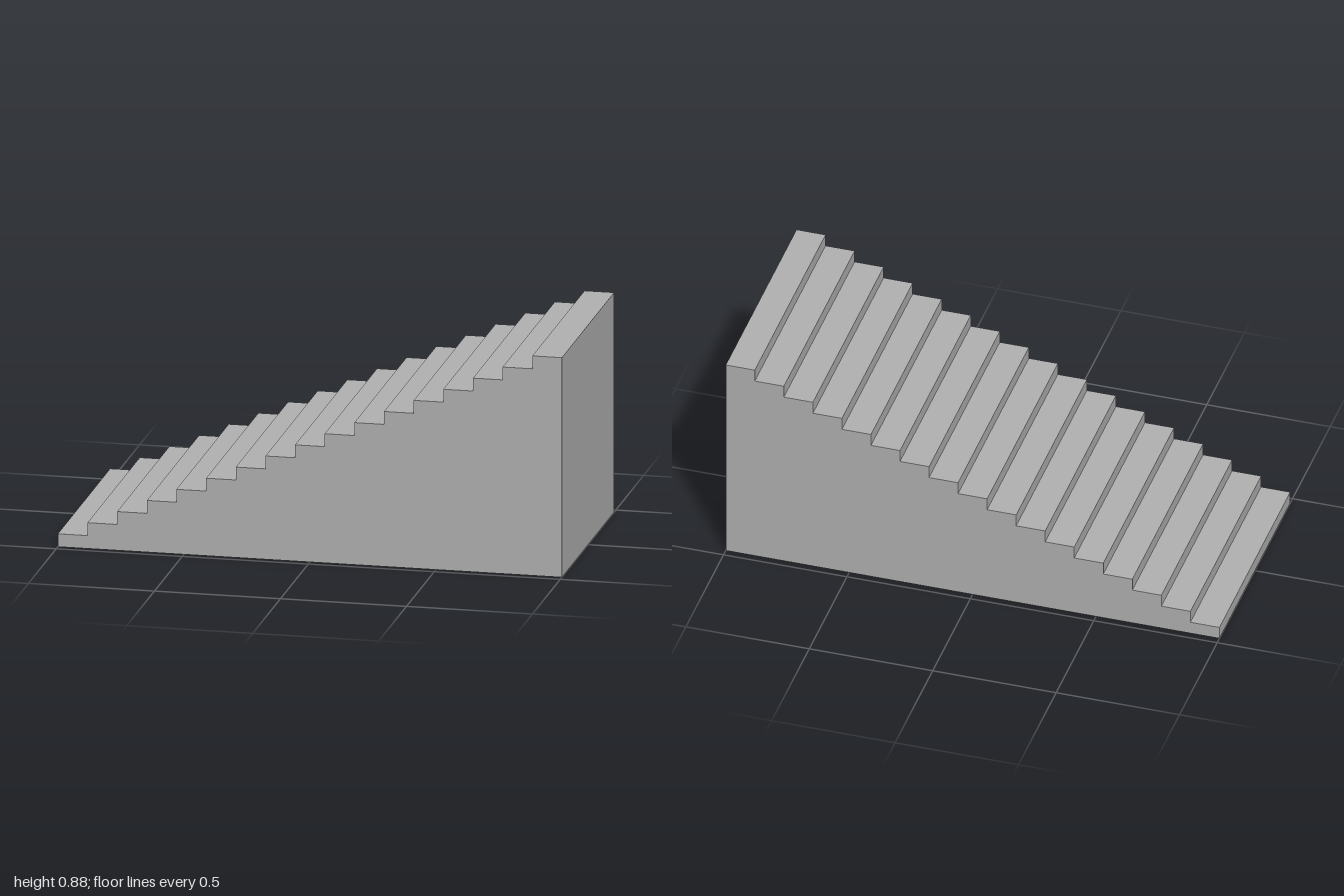
import * as THREE from 'three';

const STEPS = 17;
const LENGTH = 2;
const HEIGHT = 0.885;
const DEPTH = 0.94;

export function createModel() {
  const group = new THREE.Group();
  group.name = 'staircase';

  const stone = new THREE.MeshStandardMaterial({ color: 0xb2b2b2 });
  stone.name = 'grey stone';

  // Stepped side profile, rising towards +x
  const run = LENGTH / STEPS;
  const rise = HEIGHT / STEPS;
  const profile = new THREE.Shape();
  profile.moveTo(-LENGTH / 2, 0);
  profile.lineTo(LENGTH / 2, 0);
  for (let i = STEPS; i > 0; i--) {
    profile.lineTo(-LENGTH / 2 + i * run, i * rise);
    profile.lineTo(-LENGTH / 2 + (i - 1) * run, i * rise);
  }
  profile.closePath();

  // Solid flight of steps
  const geometry = new THREE.ExtrudeGeometry(profile, { depth: DEPTH, bevelEnabled: false });
  geometry.translate(0, 0, -DEPTH / 2);
  const steps = new THREE.Mesh(geometry, stone);
  steps.name = 'steps';
  group.add(steps);

  return group;
}
